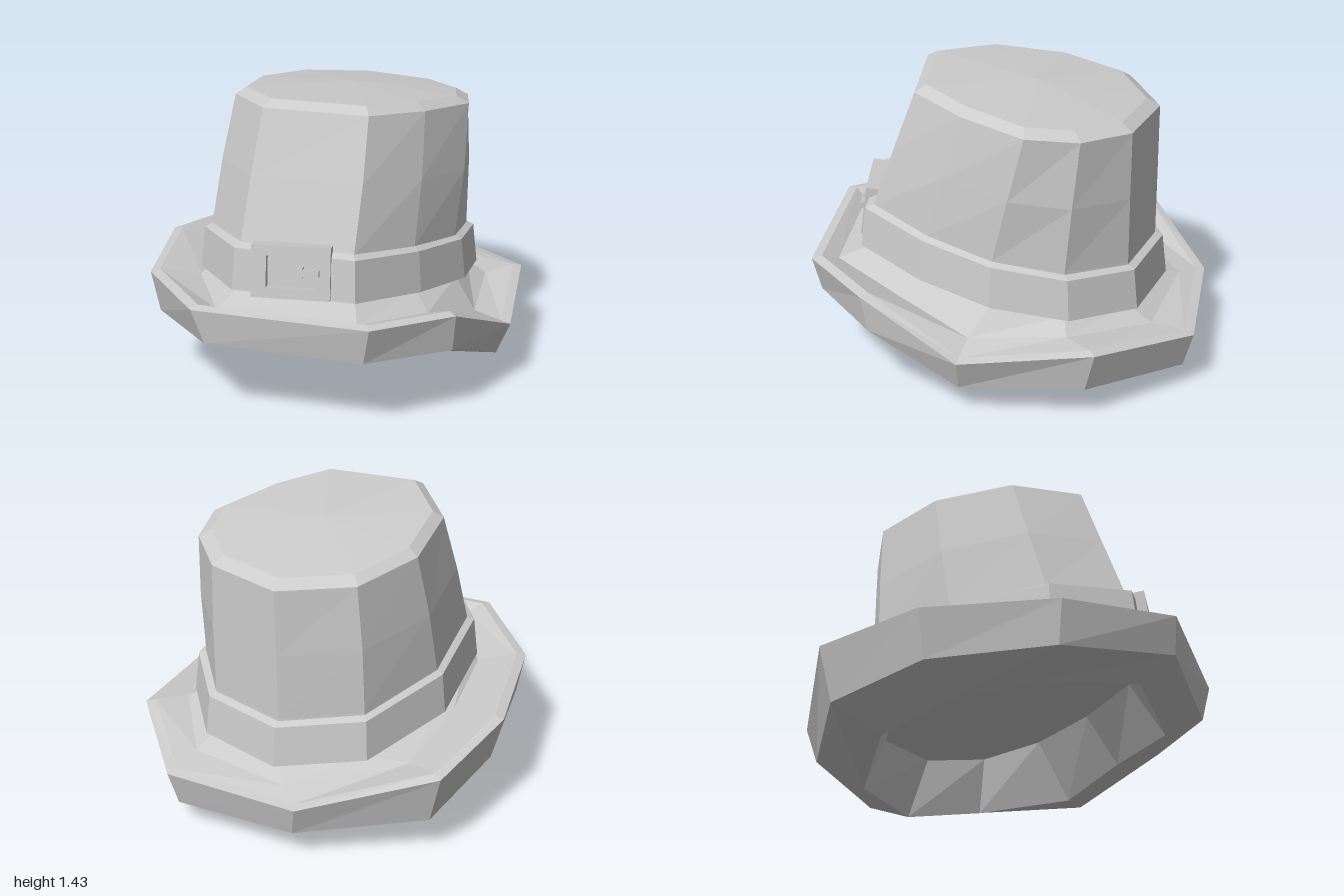
import * as THREE from 'three';

const SIDES = 10;
const material = () => new THREE.MeshStandardMaterial({ color: 0xcccccc, flatShading: true, side: THREE.DoubleSide });

// Rings run from the front round by +x; each is a list of [x, y, z] corners.
const ring = (flat) => Array.from({ length: SIDES }, (_, i) => flat.slice(i * 3, i * 3 + 3));
// Ring from an [x, z] outline, scaled, with its height following a tilted plane
const tilted = (outline, scale, y0, slope) =>
  outline.map(([x, z]) => [x * scale, y0 + slope * z, z * scale + (1 - scale) * -0.04]);
// Ring part way between two others, widened sideways
const blend = (a, b, t, widen) => a.map((p, i) => p.map((v, k) => t * b[i][k] + (1 - t) * v))
  .map(([x, y, z]) => [x * widen, y, z]);

// Skin consecutive rings; a ring of one point closes the end as a fan.
function skin(name, rings) {
  const pos = [];
  const at = (r, j) => r[j % r.length];
  for (let i = 0; i < rings.length - 1; i++) {
    const lo = rings[i], hi = rings[i + 1];
    for (let j = 0; j < SIDES; j++) {
      const a = at(lo, j), b = at(lo, j + 1), c = at(hi, j + 1), d = at(hi, j);
      if (lo.length > 1) pos.push(...a, ...b, ...c);
      if (hi.length > 1) pos.push(...a, ...c, ...d);
    }
  }
  const g = new THREE.BufferGeometry();
  g.setAttribute('position', new THREE.Float32BufferAttribute(pos, 3));
  g.computeVertexNormals();
  const mesh = new THREE.Mesh(g, material());
  mesh.name = name;
  return mesh;
}

// Crown outlines at the base and at the top edge
const BASE = [[-.18, .71], [.36, .61], [.53, .27], [.61, -.08], [.55, -.42],
  [.29, -.67], [-.12, -.72], [-.46, -.49], [-.58, -.03], [-.48, .43]];
const TOP = [[-.16, .48], [.33, .38], [.5, .1], [.6, -.23], [.51, -.47],
  [.28, -.66], [-.11, -.71], [-.42, -.5], [-.52, -.15], [-.43, .23]];

function makeCrown() {
  const foot = tilted(BASE, 1, .47, .14);
  const low = tilted(BASE, .985, .71, .13);
  const edge = tilted(TOP, 1, 1.35, .105);
  const lip = tilted(TOP.map(([x, z]) => [x, z - .005]), .9, 1.385, .1);
  return skin('crown', [foot, low, blend(low, edge, .5, 1.02), edge, lip, [[.02, 1.4, -.14]]]);
}

function makeBand() {
  const r = (scale, y) => tilted(BASE, scale, y, .145);
  return skin('hatBand', [r(.98, .49), r(1.075, .49), r(1.04, .69), r(.97, .71), r(.98, .49)]);
}

function makeBrim() {
  const top = ring([-.29, .56, .99, .54, .55, .86, .82, .53, .5, .925, .31, 0, .78, .37, -.62,
    .33, .3, -1, -.36, .31, -.93, -.9, .46, -.53, -.93, .53, 0, -.72, .54, .61]);
  const wall = ring([-.24, .39, .96, .5, .37, .83, .8, .35, .48, .86, .15, .01, .75, .17, -.57,
    .31, .12, -.95, -.32, .15, -.89, -.83, .2, -.5, -.87, .3, 0, -.69, .33, .58]);
  const under = ring([-.2, .3, .77, .42, .29, .66, .6, .25, .33, .68, .13, .02, .53, .08, -.42,
    .22, 0, -.67, -.21, .015, -.68, -.6, .1, -.36, -.62, .2, 0, -.52, .26, .4]);
  const crease = ring([-.22, .53, .87, .44, .52, .76, .64, .47, .38, .74, .35, 0, .64, .37, -.45,
    .32, .33, -.79, -.22, .34, -.82, -.67, .42, -.43, -.64, .48, .03, -.52, .51, .47]);
  const lip = top.map(([x, y, z]) => [x * .95, y + .01, z * .95]);
  const hollow = tilted(BASE, .86, .43, .19);
  const neck = tilted(BASE, 1, .49, .14);
  return skin('brim', [[[0, .44, 0]], hollow, under, wall, top, lip, crease, neck]);
}

// Square frame with a short prong across its opening
function makeBuckle() {
  const buckle = new THREE.Group();
  buckle.name = 'buckle';
  const rect = (T, w, h) => new T([[-w, -h], [w, -h], [w, h], [-w, h]].map(([x, y]) => new THREE.Vector2(x, y)));
  const shape = rect(THREE.Shape, .185, .125);
  shape.holes.push(rect(THREE.Path, .115, .076));
  const frame = new THREE.Mesh(new THREE.ExtrudeGeometry(shape, { depth: .08, bevelEnabled: false }), material());
  frame.name = 'buckleFrame';
  frame.position.z = -.04;
  buckle.add(frame);
  const addBox = (name, size, at) => {
    const mesh = new THREE.Mesh(new THREE.BoxGeometry(...size), material());
    mesh.name = name;
    mesh.position.set(...at);
    buckle.add(mesh);
  };
  addBox('bucklePlate', [.24, .16, .02], [0, 0, -.015]);
  addBox('buckleProng', [.09, .03, .035], [.09, .005, .045]);
  addBox('prongTip', [.025, .045, .06], [.045, .005, .03]);
  buckle.position.set(.085, .705, .695);
  buckle.rotation.set(-.14, .26, 0, 'YXZ');
  return buckle;
}

export function createModel() {
  const hat = new THREE.Group();
  hat.name = 'hat';
  hat.add(makeBrim(), makeCrown(), makeBand(), makeBuckle());
  return hat;
}
